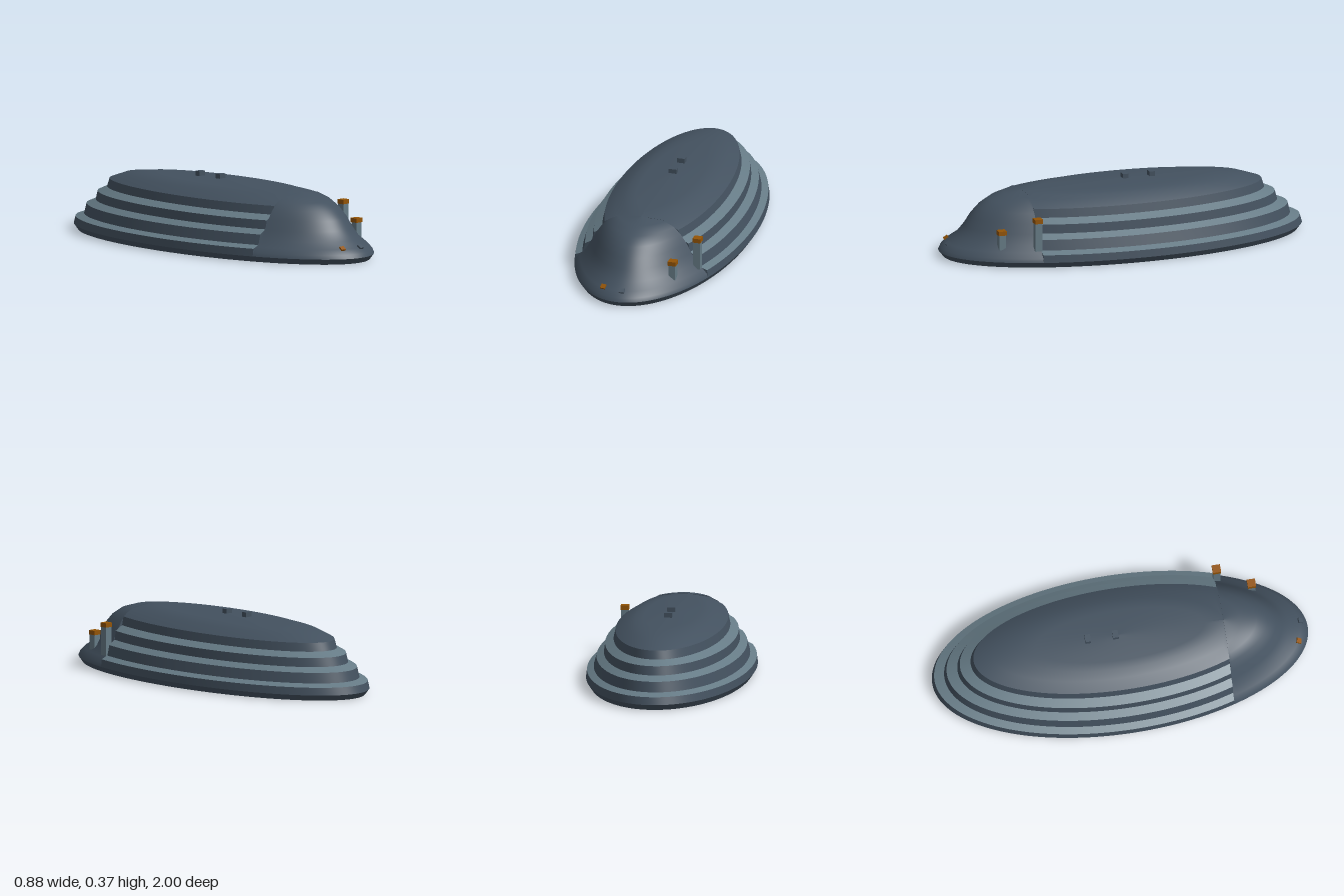
import * as THREE from 'three';

const CUT = 0.55; // z where the terraced hull meets the smooth bow

// Each ring: [half width, half length, height]
const BASE = [[0.42, 0.975, 0], [0.44, 1, 0.03]];
const TERRACES = [
  [0.435, 0.988, 0.07], [0.4, 0.935, 0.086],
  [0.385, 0.922, 0.14], [0.346, 0.865, 0.163],
  [0.34, 0.852, 0.21], [0.295, 0.795, 0.235],
  [0.285, 0.78, 0.28],
];
const DECK = [[0.285, 0.78, 0.28], [0.23, 0.68, 0.315], [0.185, 0.55, 0.331], [0.14, 0.45, 0.338], [0, 0, 0.345]];
const BOW = [
  [0.44, 1, 0.03], [0.434, 0.99, 0.05], [0.412, 0.96, 0.077], [0.385, 0.905, 0.11], [0.358, 0.862, 0.16],
  [0.332, 0.83, 0.21], [0.303, 0.785, 0.258], [0.275, 0.725, 0.295], [0.255, 0.64, 0.32], [0.2, 0.55, 0.334],
];

const cutAngle = (rz) => (rz > CUT ? Math.acos(CUT / rz) : 0);

// Smooth skin through elliptical rings, kept either behind or in front of the cut
function skin(rings, front, segments) {
  const pos = [], index = [];
  for (const [rx, rz, y] of rings) {
    const a = cutAngle(rz);
    const start = front ? -a : a;
    const sweep = front ? 2 * a : 2 * (Math.PI - a);
    for (let j = 0; j <= segments; j++) {
      const t = start + (sweep * j) / segments;
      pos.push(rx * Math.sin(t), y, rz * Math.cos(t));
    }
  }
  const n = segments + 1;
  for (let i = 0; i < rings.length - 1; i++) {
    for (let j = 0; j < segments; j++) {
      const a = i * n + j;
      index.push(a, a + 1, a + n, a + 1, a + n + 1, a + n);
    }
  }
  const g = new THREE.BufferGeometry();
  g.setAttribute('position', new THREE.Float32BufferAttribute(pos, 3));
  g.setIndex(index);
  g.computeVertexNormals();
  return g;
}

// Flat end wall at the cut, following the cross-section of the rings
function endWall(rings) {
  const right = rings.filter((r) => r[1] >= CUT)
    .map(([rx, rz, y]) => new THREE.Vector2(rx * Math.sin(cutAngle(rz)), y));
  const left = right.slice(0, -1).reverse().map((p) => new THREE.Vector2(-p.x, p.y));
  return new THREE.ShapeGeometry(new THREE.Shape([...right, ...left]));
}

export function createModel() {
  const paint = (name, color) => {
    const m = new THREE.MeshStandardMaterial({ color });
    m.name = name;
    return m;
  };
  const slate = paint('slate', 0x43515f);
  const paleSlate = paint('pale slate', 0x667b86);
  const amber = paint('amber', 0x935405);

  const model = new THREE.Group();
  const add = (name, geometry, material, x = 0, y = 0, z = 0, parent = model) => {
    const mesh = new THREE.Mesh(geometry, material);
    mesh.name = name;
    mesh.position.set(x, y, z);
    parent.add(mesh);
    return mesh;
  };

  // Terraced hull: every band is its own mesh so its edges stay crisp
  const hull = new THREE.Group();
  hull.name = 'terracedHull';
  model.add(hull);
  const steps = [...BASE, ...TERRACES];
  for (let i = 0; i < steps.length - 1; i++) {
    const ledge = i >= 2 && i % 2 === 0;
    add(ledge ? 'ledge' : 'sideBand', skin([steps[i], steps[i + 1]], false, 96),
      ledge ? paleSlate : slate, 0, 0, 0, hull);
  }
  add('topDeck', skin(DECK, false, 96), slate, 0, 0, 0, hull);
  add('hullEndWall', endWall([...steps, ...DECK.slice(1)]), slate, 0, 0, CUT, hull);

  // Smooth bow
  const bow = new THREE.Group();
  bow.name = 'bow';
  model.add(bow);
  add('bowChamfer', skin(BASE, true, 64), slate, 0, 0, 0, bow);
  add('bowShell', skin(BOW, true, 64), slate, 0, 0, 0, bow);
  add('bowEndWall', endWall([BASE[0], ...BOW]), slate, 0, 0, CUT, bow).rotation.y = Math.PI;

  // Underside
  const floor = add('underside', new THREE.CircleGeometry(1, 128), slate);
  floor.rotation.x = Math.PI / 2;
  floor.scale.set(BASE[0][0], BASE[0][1], 1);

  // Two posts with amber caps on the left of the bow
  for (const [x, z, bottom, top] of [[0.314, 0.565, 0.085, 0.236], [0.231, 0.738, 0.085, 0.165]]) {
    const post = new THREE.Group();
    post.name = 'cappedPost';
    model.add(post);
    add('postShaft', new THREE.BoxGeometry(0.038, top - bottom, 0.038), paleSlate, x, (top + bottom) / 2, z, post);
    add('postCap', new THREE.BoxGeometry(0.044, 0.023, 0.044), amber, x, top + 0.0115, z, post);
  }

  // Small deck blocks
  for (const z of [-0.025, -0.172]) {
    add('deckBlock', new THREE.BoxGeometry(0.042, 0.03, 0.03), slate, 0, 0.353, z);
  }

  // Small plates lying on the nose
  for (const [name, x, z, material] of [['amberNosePlate', -0.09, 0.938, amber], ['slateNosePlate', 0.02, 0.964, slate]]) {
    const plate = add(name, new THREE.BoxGeometry(0.027, 0.009, 0.026), material, x, 0.082, z);
    plate.rotation.set(0.6, x * 2, 0, 'YXZ');
  }

  return model;
}
